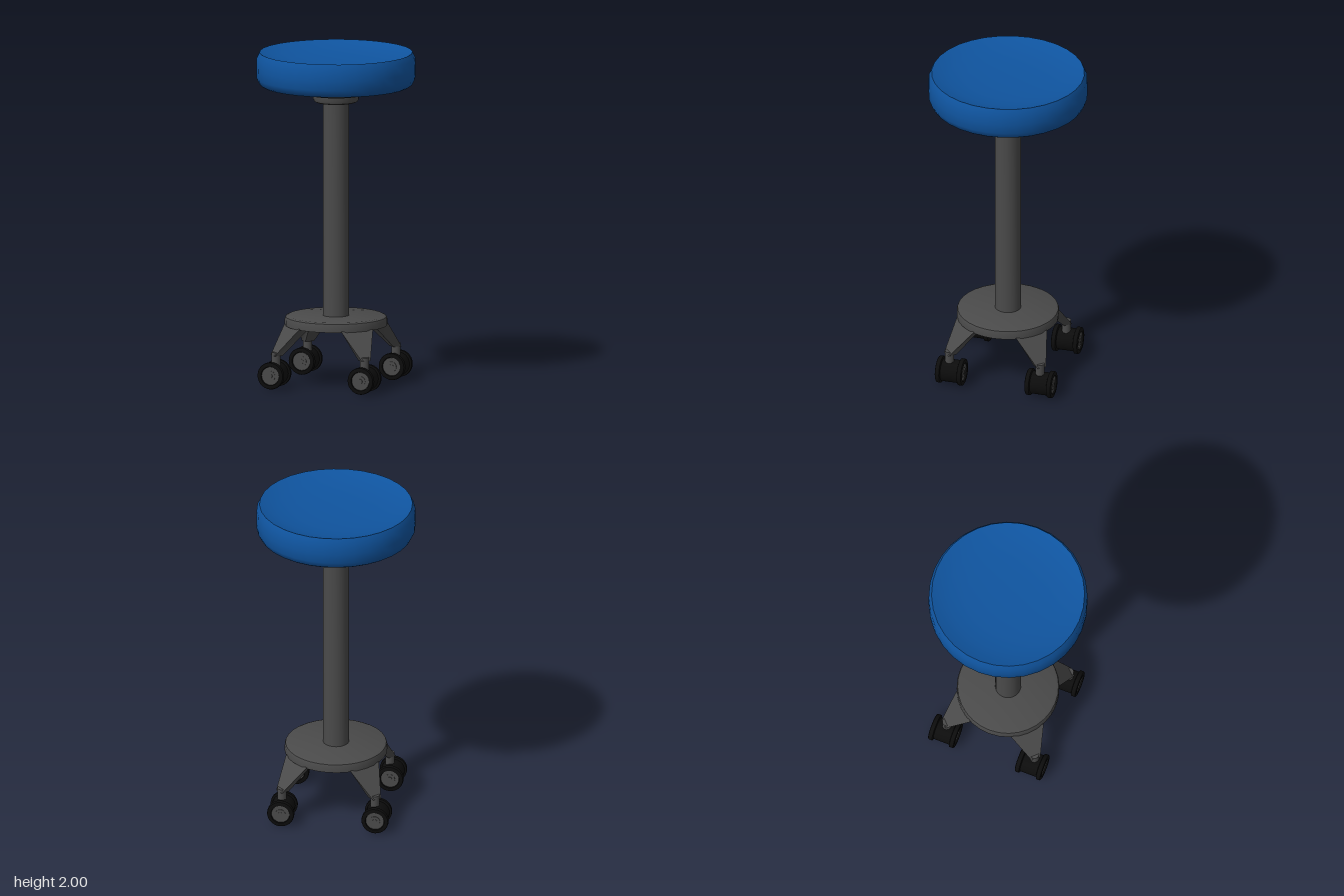
import * as THREE from 'three';
import { toCreasedNormals } from 'three/addons/utils/BufferGeometryUtils.js';

const mat = (name, color) => {
  const m = new THREE.MeshStandardMaterial({ color });
  m.name = name;
  return m;
};

export function createModel() {
  const blue = mat('blue upholstery', 0x0f549f);
  const grey = mat('dark grey metal', 0x4a4a4a);
  const black = mat('black rubber', 0x0c0c0c);
  const model = new THREE.Group();
  model.name = 'rollingStool';

  const add = (parent, name, geometry, material) => {
    const mesh = new THREE.Mesh(geometry, material);
    mesh.name = name;
    parent.add(mesh);
    return mesh;
  };

  // Turned part from [radius, height] pairs, bottom to top
  const turned = (points, segments = 32, crease = 0.6) => toCreasedNormals(
    new THREE.LatheGeometry(points.map(([r, y]) => new THREE.Vector2(r, y)), segments), crease);

  // Dished cushion
  add(model, 'seatCushion', turned([
    [0, 1.8], [0.44, 1.8], [0.455, 1.81], [0.472, 1.845], [0.474, 1.9], [0.472, 1.965],
    [0.455, 2], [0.42, 1.987], [0.35, 1.97], [0.25, 1.957], [0.12, 1.951], [0, 1.95],
  ]), blue);
  add(model, 'seatBase', turned([[0, 1.76], [0.18, 1.76], [0.18, 1.81], [0, 1.81]]), blue);

  // Mounting flange, collar and column
  add(model, 'seatFlange', turned([
    [0, 1.75], [0.178, 1.75], [0.188, 1.756], [0.19, 1.775], [0, 1.775],
  ]), grey);
  add(model, 'collar', turned([
    [0, 1.7], [0.118, 1.7], [0.13, 1.706], [0.136, 1.72], [0.136, 1.755], [0, 1.755],
  ]), grey);
  add(model, 'column', turned([[0, 0.39], [0.077, 0.39], [0.077, 1.71], [0, 1.71]]), grey);

  // Base plate with a rounded upper rim and a boss underneath
  add(model, 'basePlate', turned([
    [0, 0.358], [0.305, 0.358], [0.305, 0.395], [0.3, 0.408], [0.285, 0.415], [0, 0.415],
  ]), grey);
  add(model, 'baseBoss', turned([[0, 0.345], [0.2, 0.345], [0.21, 0.36], [0, 0.36]]), grey);

  // Wedge leg: a box tapered from the plate out to the caster stem
  const legGeometry = new THREE.BoxGeometry(1, 1, 1);
  const p = legGeometry.attributes.position;
  for (let i = 0; i < p.count; i++) {
    const top = p.getY(i) > 0, outer = p.getZ(i) > 0, side = Math.sign(p.getX(i));
    const halfWidth = top ? (outer ? 0.105 : 0.065) : 0.028;
    const radius = top ? (outer ? 0.29 : 0.2) : (outer ? 0.418 : 0.365);
    p.setXYZ(i, side * halfWidth, top ? 0.365 : 0.2, radius);
  }
  legGeometry.computeVertexNormals();

  // Spool-shaped tyre lying along z
  const half = [
    [0, 0.07], [0.054, 0.07], [0.057, 0.082], [0.073, 0.082],
    [0.079, 0.079], [0.081, 0.073], [0.081, 0.055], [0.069, 0.051],
  ];
  const tyreProfile = [...half.map(([r, z]) => [r, -z]), ...half.slice().reverse()];
  const tyreGeometry = turned(tyreProfile, 28).rotateX(Math.PI / 2);
  const hubGeometry = (r, length) =>
    new THREE.CylinderGeometry(r, r, length, 24).rotateX(Math.PI / 2);
  const hubs = [hubGeometry(0.054, 0.15), hubGeometry(0.031, 0.156), hubGeometry(0.014, 0.162)];
  const stemGeometry = new THREE.CylinderGeometry(0.027, 0.027, 0.1, 16);

  // Four diagonal legs, each with a stem and a caster
  for (let i = 0; i < 4; i++) {
    const angle = Math.PI / 4 + i * Math.PI / 2;
    const sx = Math.sign(Math.sin(angle)), sz = Math.sign(Math.cos(angle));
    add(model, 'leg', legGeometry, grey).rotation.y = angle;
    add(model, 'casterStem', stemGeometry, grey).position.set(sx * 0.28, 0.17, sz * 0.28);

    const caster = new THREE.Group();
    caster.name = 'caster';
    caster.position.set(sx * 0.284 - 0.008, 0.085, sz * 0.277 - 0.007);
    add(caster, 'casterTyre', tyreGeometry, black);
    hubs.forEach((g) => add(caster, 'casterHub', g, grey));
    model.add(caster);
  }
  return model;
}
